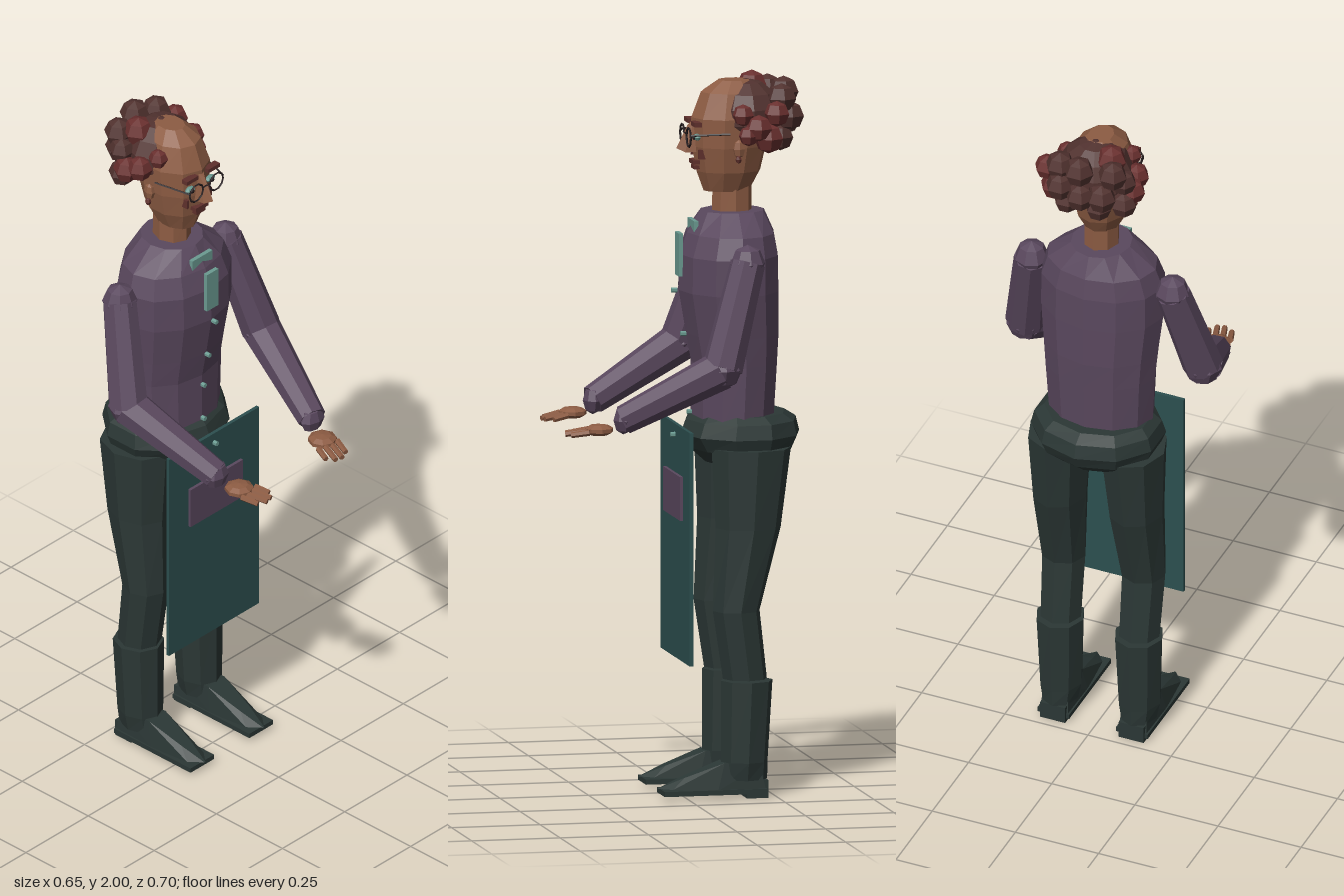
import * as THREE from 'three';
import { ConvexGeometry } from 'three/addons/geometries/ConvexGeometry.js';

const paint = (name, color) => {
  const m = new THREE.MeshStandardMaterial({ color });
  m.name = name;
  return m;
};

// Give every face its own normal for the low-poly look
function faceted(geo) {
  const g = geo.index ? geo.toNonIndexed() : geo;
  g.computeVertexNormals();
  return g;
}

// Closed body through elliptical rings [y, cx, cz, rx, rz], bottom to top
function loft(rings, n) {
  const pos = [], idx = [];
  for (const [y, cx, cz, rx, rz] of rings) {
    for (let i = 0; i < n; i++) {
      const a = (i / n) * Math.PI * 2;
      pos.push(cx + rx * Math.sin(a), y, cz + rz * Math.cos(a));
    }
  }
  const last = rings.length - 1;
  for (let j = 0; j < last; j++) {
    for (let i = 0; i < n; i++) {
      const a = j * n + i, b = j * n + (i + 1) % n;
      idx.push(a, b, b + n, a, b + n, a + n);
    }
  }
  const base = rings.length * n;
  pos.push(rings[0][1], rings[0][0], rings[0][2]);
  pos.push(rings[last][1], rings[last][0], rings[last][2]);
  for (let i = 0; i < n; i++) {
    const k = (i + 1) % n;
    idx.push(base, k, i, base + 1, last * n + i, last * n + k);
  }
  const g = new THREE.BufferGeometry();
  g.setAttribute('position', new THREE.Float32BufferAttribute(pos, 3));
  g.setIndex(idx);
  return g;
}

// Tapered cylinder between two points
function rod(a, b, ra, rb, n) {
  const p = new THREE.Vector3(...a), q = new THREE.Vector3(...b);
  const dir = q.clone().sub(p);
  const g = new THREE.CylinderGeometry(rb, ra, dir.length(), n);
  g.applyQuaternion(new THREE.Quaternion().setFromUnitVectors(
    new THREE.Vector3(0, 1, 0), dir.normalize()));
  return g.translate(...p.add(q).multiplyScalar(0.5).toArray());
}

const box = (w, h, d, x, y, z) => new THREE.BoxGeometry(w, h, d).translate(x, y, z);
const ball = (rx, ry, rz, x, y, z, n = 8, m = 5) =>
  new THREE.SphereGeometry(1, n, m).scale(rx, ry, rz).translate(x, y, z);
const hull = pts => new ConvexGeometry(pts.map(p => new THREE.Vector3(...p)));

export function createModel() {
  const model = new THREE.Group();
  model.name = 'figure';

  const skin = paint('skin', 0x8d5c43);
  const shirt = paint('plum shirt', 0x5a485e);
  const trousers = paint('dark green trousers', 0x2b3735);
  const apron = paint('teal apron', 0x2c4f4f);
  const mint = paint('mint', 0x6b9b91);
  const brownHair = paint('brown hair', 0x51322f);
  const redHair = paint('red hair', 0x6a302f);
  const dark = paint('black brown', 0x251c1e);
  const lip = paint('lip', 0x5f302c);

  const add = (name, geo, mat, parent = model) => {
    const mesh = new THREE.Mesh(faceted(geo), mat);
    mesh.name = name;
    parent.add(mesh);
    return mesh;
  };

  // Body
  add('torso', loft([
    [1.03, 0, -0.155, 0.152, 0.115],
    [1.2, 0, -0.16, 0.162, 0.12],
    [1.28, 0, -0.155, 0.168, 0.13],
    [1.4, 0, -0.145, 0.18, 0.14],
    [1.5, 0, -0.145, 0.18, 0.138],
    [1.56, 0, -0.15, 0.16, 0.122],
    [1.62, 0, -0.155, 0.085, 0.09],
  ], 12), shirt);
  add('hips', loft([
    [0.92, 0, -0.18, 0.13, 0.1],
    [0.96, 0, -0.18, 0.175, 0.145],
    [1.0, 0, -0.177, 0.19, 0.168],
    [1.04, 0, -0.18, 0.18, 0.155],
    [1.06, 0, -0.175, 0.155, 0.128],
  ], 10), trousers);

  // Apron, pocket, neck tie and buttons
  add('apron', box(0.362, 0.65, 0.01, 0, 0.702, 0), apron);
  add('apronPocket', box(0.21, 0.122, 0.009, 0, 0.833, 0.011), shirt);
  add('collarBow', box(0.08, 0.045, 0.012, 0, 1.573, -0.045), mint);
  add('tie', box(0.046, 0.12, 0.012, 0, 1.5, -0.006), mint);
  for (const [y, z] of [[1.4, 0.008], [1.278, -0.018], [1.17, -0.036], [1.06, -0.036], [0.998, 0.01]])
    add('button', rod([0, y, z - 0.008], [0, y, z + 0.008], 0.007, 0.007, 6), mint);

  // Legs, shoes, arms and hands
  for (const s of [1, -1]) {
    const side = s > 0 ? 'left' : 'right';
    const leg = new THREE.Group();
    leg.name = side + 'Leg';
    model.add(leg);
    add('thigh', loft([
      [0.33, s * 0.118, -0.165, 0.06, 0.062],
      [0.52, s * 0.12, -0.14, 0.064, 0.066],
      [0.75, s * 0.115, -0.175, 0.076, 0.092],
      [0.97, s * 0.11, -0.185, 0.09, 0.112],
    ], 8), trousers, leg);
    add('shin', loft([
      [0.05, s * 0.118, -0.162, 0.05, 0.066],
      [0.1, s * 0.118, -0.163, 0.06, 0.066],
      [0.325, s * 0.118, -0.17, 0.069, 0.073],
    ], 8), trousers, leg);
    add('shoe', hull([-1, 1].flatMap(k => [
      [s * 0.118 + k * 0.042, 0.025, -0.215], [s * 0.118 + k * 0.036, 0.09, -0.2],
      [s * 0.118 + k * 0.034, 0.1, -0.1], [s * 0.118 + k * 0.044, 0.025, -0.08],
      [s * 0.118 + k * 0.033, 0.03, 0.045], [s * 0.118 + k * 0.018, 0.06, 0.01],
      [s * 0.118 + k * 0.002, 0.03, 0.082],
    ])), trousers, leg);
    add('sole', box(0.095, 0.014, 0.29, s * 0.118, 0.02, -0.073), trousers, leg);
    add('heel', box(0.075, 0.05, 0.06, s * 0.118, 0.025, -0.193), trousers, leg);

    const arm = new THREE.Group();
    arm.name = side + 'Arm';
    model.add(arm);
    const shoulder = [s * 0.212, 1.5, -0.152], elbow = [s * 0.266, 1.215, -0.068];
    const wrist = [s * 0.192, 1.072, 0.195];
    add('shoulder', ball(0.049, 0.052, 0.049, ...shoulder, 8, 4), shirt, arm);
    add('upperSleeve', rod(shoulder, elbow, 0.049, 0.057, 8), shirt, arm);
    add('elbow', ball(0.057, 0.055, 0.057, ...elbow, 8, 4), shirt, arm);
    add('lowerSleeve', rod(elbow, wrist, 0.056, 0.041, 8), shirt, arm);
    add('cuff', ball(0.042, 0.04, 0.028, ...wrist, 8, 4), shirt, arm);
    add('palm', ball(0.042, 0.017, 0.042, s * 0.167, 1.043, 0.258), skin, arm);
    for (const [x, z, len] of [[0.192, 0.29, 0.048], [0.17, 0.289, 0.06], [0.149, 0.286, 0.058], [0.128, 0.28, 0.042]])
      add('finger', rod([s * x, 1.04, z], [s * (x - len * 0.33), 1.032, z + len], 0.009, 0.008, 6), skin, arm);
  }

  // Head
  const head = new THREE.Group();
  head.name = 'head';
  model.add(head);
  add('neck', loft([[1.59, 0, -0.155, 0.05, 0.056], [1.71, 0, -0.155, 0.048, 0.055]], 8), skin, head);
  add('face', loft([
    [1.675, 0, -0.14, 0.048, 0.065],
    [1.73, 0, -0.145, 0.074, 0.09],
    [1.8, 0, -0.147, 0.088, 0.105],
    [1.88, 0, -0.15, 0.092, 0.11],
    [1.95, 0, -0.155, 0.07, 0.088],
    [1.982, 0, -0.16, 0.035, 0.045],
  ], 10), skin, head);
  add('nose', hull([
    [-0.01, 1.87, -0.045], [0.01, 1.87, -0.045], [0, 1.795, 0.002], [0, 1.86, -0.03],
    [-0.02, 1.785, -0.05], [0.02, 1.785, -0.05], [-0.015, 1.785, -0.02], [0.015, 1.785, -0.02],
  ]), skin, head);
  add('upperLip', box(0.05, 0.012, 0.02, 0, 1.757, -0.05), lip, head);
  add('lowerLip', box(0.036, 0.01, 0.02, 0, 1.742, -0.054), lip, head);

  for (const s of [1, -1]) {
    add('eye', ball(0.018, 0.01, 0.01, s * 0.04, 1.83, -0.048, 8, 4), mint, head);
    add('pupil', ball(0.007, 0.008, 0.005, s * 0.04, 1.83, -0.039, 6, 4), dark, head);
    add('brow', box(0.046, 0.012, 0.02, s * 0.043, 1.867, -0.045), lip, head);
    add('ear', ball(0.012, 0.026, 0.018, s * 0.09, 1.8, -0.155, 6, 4), skin, head);
    add('earring', ball(0.009, 0.011, 0.009, s * 0.098, 1.772, -0.152, 6, 4), lip, head);
    add('cheekLine', box(0.008, 0.026, 0.02, s * 0.046, 1.782, -0.06), lip, head);
    // Spectacles
    add('lensFrame', new THREE.TorusGeometry(0.027, 0.003, 4, 10).translate(s * 0.04, 1.83, -0.024), dark, head);
    add('templeArm', rod([s * 0.067, 1.838, -0.024], [s * 0.095, 1.843, -0.13], 0.003, 0.003, 4), dark, head);
  }
  add('bridge', rod([-0.014, 1.838, -0.022], [0.014, 1.838, -0.022], 0.003, 0.003, 4), dark, head);

  // Hair: scalp cap and curls [x, y, z, radius, red]
  const hair = new THREE.Group();
  hair.name = 'hair';
  head.add(hair);
  add('scalp', ball(0.108, 0.1, 0.1, 0, 1.884, -0.195, 10, 7), brownHair, hair);
  const curls = [
    [-0.06, 1.955, -0.225, 0.043, 1], [-0.085, 1.94, -0.275, 0.042, 0], [0.005, 1.945, -0.3, 0.043, 0],
    [0.07, 1.935, -0.28, 0.042, 0], [0.06, 1.885, -0.305, 0.041, 0], [0, 1.865, -0.305, 0.041, 0],
    [-0.06, 1.87, -0.295, 0.042, 0], [0.12, 1.9, -0.255, 0.036, 1], [0.118, 1.86, -0.205, 0.038, 1],
    [0.098, 1.895, -0.165, 0.031, 1], [0.105, 1.83, -0.235, 0.042, 1], [0.12, 1.84, -0.175, 0.028, 1],
    [-0.08, 1.915, -0.13, 0.028, 1], [-0.112, 1.88, -0.17, 0.036, 1], [-0.118, 1.86, -0.215, 0.038, 1],
    [-0.105, 1.905, -0.245, 0.037, 0], [-0.105, 1.83, -0.245, 0.038, 0], [0.05, 1.825, -0.28, 0.038, 0],
    [-0.045, 1.825, -0.28, 0.038, 0],
  ];
  for (const [x, y, z, r, red] of curls)
    add('curl', ball(r, r, r, x, y, z, 6, 4), red ? redHair : brownHair, hair);

  return model;
}
